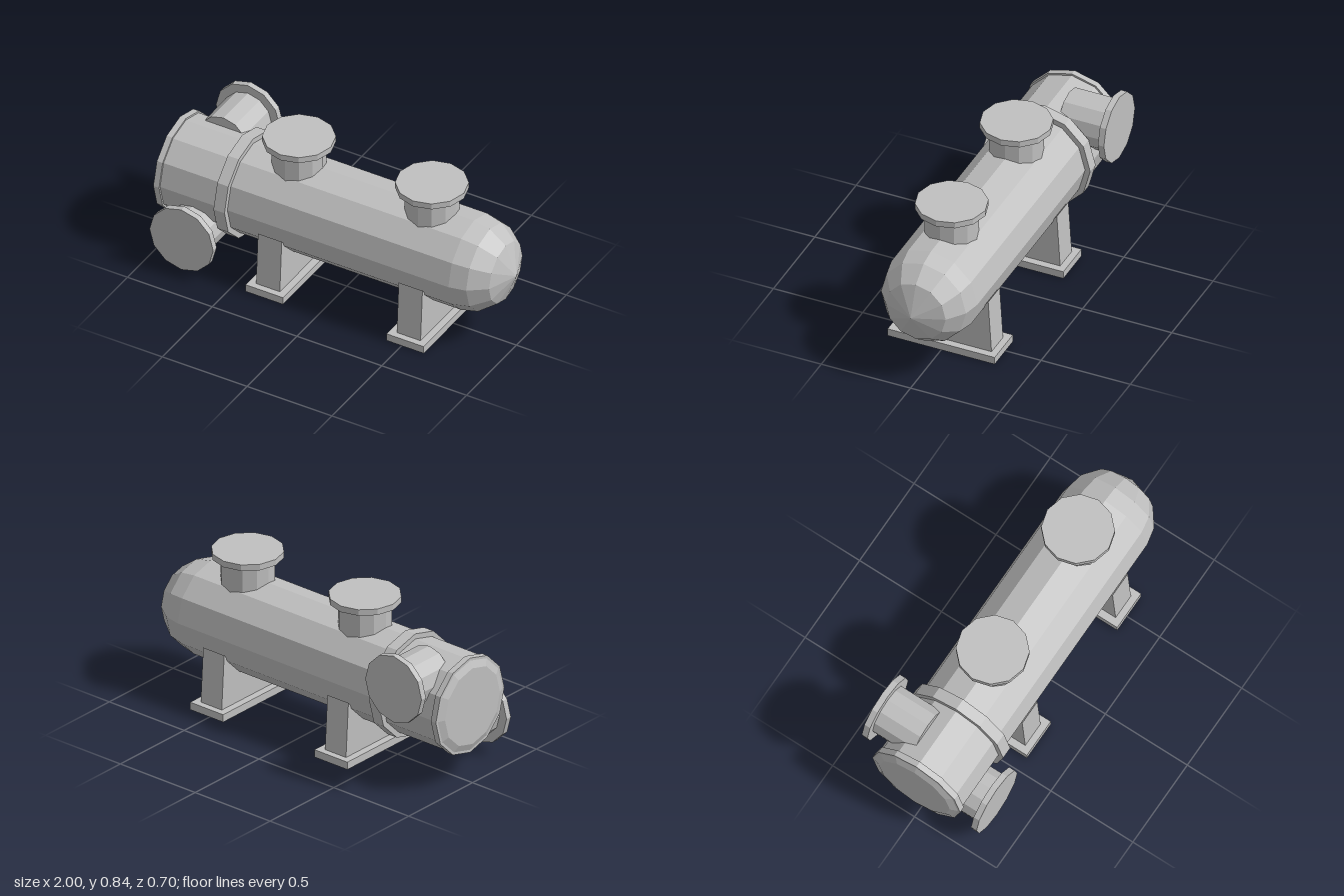
import * as THREE from 'three';

const SIDES = 12;
const AXIS_Y = 0.435; // height of the vessel axis
const R = 0.258;      // shell radius

export function createModel() {
  const model = new THREE.Group();
  model.name = 'heatExchanger';
  const steel = new THREE.MeshStandardMaterial({ color: 0xc0c0c0, flatShading: true });
  steel.name = 'grey steel';

  const add = (parent, name, geometry) => {
    const mesh = new THREE.Mesh(geometry, steel);
    mesh.name = name;
    parent.add(mesh);
    return mesh;
  };

  // Solid of revolution along x from [x, radius] pairs, running left to right
  const turned = (name, profile) => {
    const g = new THREE.LatheGeometry(profile.map(([x, r]) => new THREE.Vector2(r, x)), SIDES);
    g.rotateZ(-Math.PI / 2);
    add(model, name, g).position.y = AXIS_Y;
  };

  // Shell with domed right end and shallow left cover
  turned('shell', [
    [-1, 0], [-1, 0.215], [-0.982, R], [0.75, R], [0.843, 0.238], [0.937, 0.168], [1, 0],
  ]);
  turned('coverFlange', [[-0.984, 0], [-0.984, 0.268], [-0.95, 0.268], [-0.95, 0]]);
  turned('channelFlange', [[-0.618, 0], [-0.618, 0.287], [-0.553, 0.287], [-0.553, 0]]);

  // Nozzle along local +y: pipe from start to the flange, capped at end
  const nozzle = (name, position, tilt, start, end) => {
    const group = new THREE.Group();
    group.name = name;
    const t = 0.034;
    const pipe = add(group, 'pipe', new THREE.CylinderGeometry(0.14, 0.14, end - t - start, SIDES));
    pipe.position.y = (start + end - t) / 2;
    const flange = add(group, 'flange', new THREE.CylinderGeometry(0.188, 0.188, t, SIDES));
    flange.position.y = end - t / 2;
    group.position.set(...position);
    group.rotation.x = tilt;
    model.add(group);
  };
  nozzle('topNozzleRight', [-0.282, 0, 0], 0, 0.6, 0.842);
  nozzle('topNozzleLeft', [0.502, 0, 0], 0, 0.6, 0.842);
  nozzle('frontNozzle', [-0.77, 0.227, 0], Math.PI / 2, 0.07, 0.35);
  nozzle('backNozzle', [-0.77, 0.59, 0], -Math.PI / 2, 0.07, 0.35);

  // Saddle supports: tapered web hollowed to the shell, on a base plate
  const web = new THREE.Shape();
  web.moveTo(-0.264, 0.04);
  web.lineTo(0.264, 0.04);
  web.lineTo(0.245, 0.345);
  for (let i = 1; i <= 5; i++) {
    const a = -i * Math.PI / 6;
    web.lineTo(0.25 * Math.cos(a), AXIS_Y + 0.25 * Math.sin(a));
  }
  web.lineTo(-0.245, 0.345);
  web.closePath();
  for (const [name, x] of [['rightSaddle', -0.31], ['leftSaddle', 0.52]]) {
    const saddle = new THREE.Group();
    saddle.name = name;
    const g = new THREE.ExtrudeGeometry(web, { depth: 0.14, bevelEnabled: false });
    g.translate(0, 0, -0.07);
    g.rotateY(Math.PI / 2);
    add(saddle, 'web', g);
    add(saddle, 'basePlate', new THREE.BoxGeometry(0.22, 0.042, 0.6)).position.y = 0.021;
    saddle.position.x = x;
    model.add(saddle);
  }

  return model;
}
